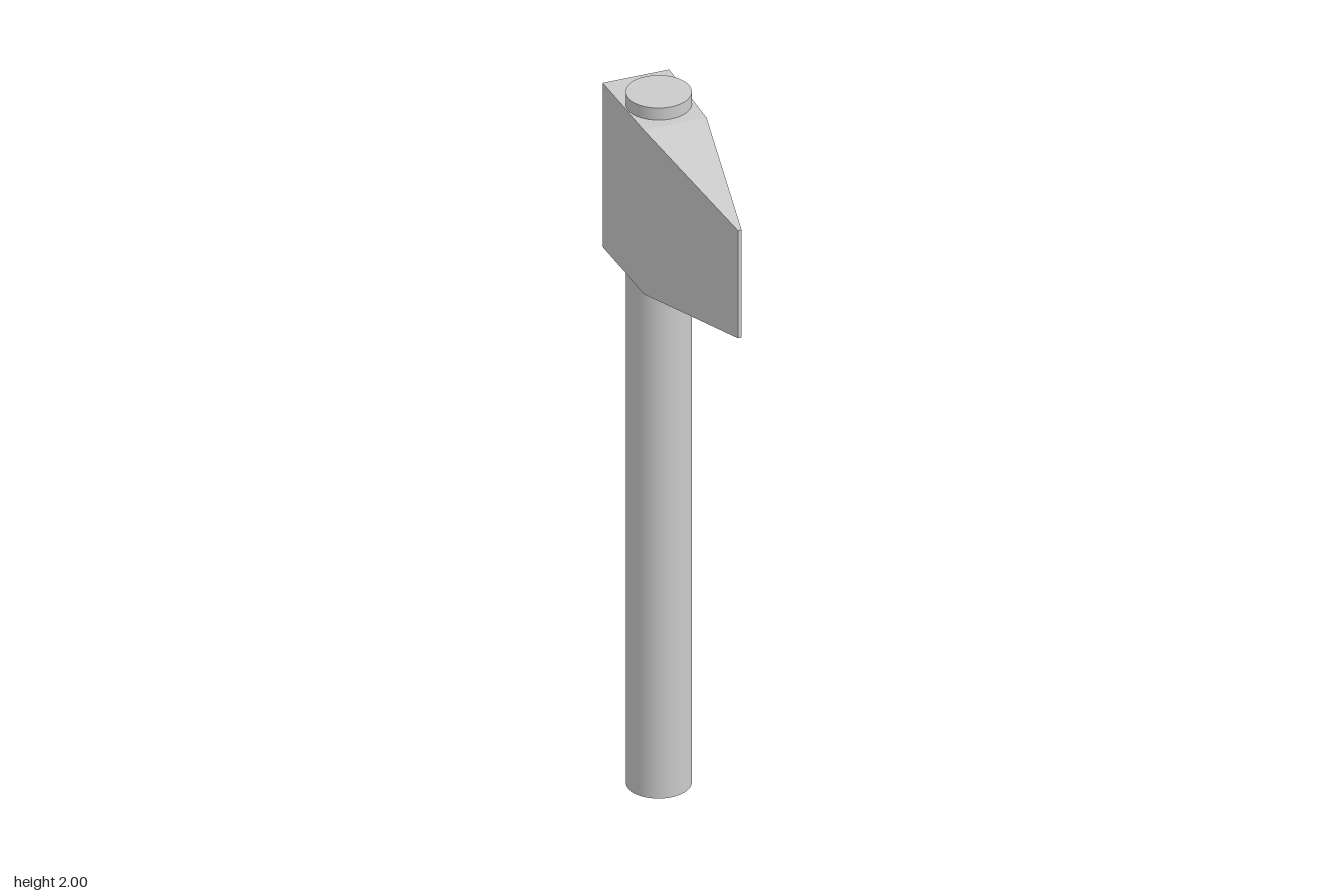
import * as THREE from 'three';

const material = new THREE.MeshStandardMaterial({ color: 0xcccccc });

// Closed solid skinned over rectangular sections listed from back to front.
function loftRectangles(sections) {
  const rings = sections.map(({ z, half, bottom, top }) => [
    [-half, bottom, z], [half, bottom, z], [half, top, z], [-half, top, z],
  ]);
  const positions = [];
  const quad = (a, b, c, d) => positions.push(...a, ...b, ...c, ...a, ...c, ...d);

  for (let i = 0; i < rings.length - 1; i++) {
    for (let j = 0; j < 4; j++) {
      const k = (j + 1) % 4;
      quad(rings[i][j], rings[i][k], rings[i + 1][k], rings[i + 1][j]);
    }
  }
  quad(...[...rings[0]].reverse());
  quad(...rings[rings.length - 1]);

  const geometry = new THREE.BufferGeometry();
  geometry.setAttribute('position', new THREE.Float32BufferAttribute(positions, 3));
  geometry.computeVertexNormals();
  return geometry;
}

export function createModel() {
  const group = new THREE.Group();
  group.name = 'hammer';

  // Round handle, running through the head and standing slightly proud of it
  const handle = new THREE.Mesh(new THREE.CylinderGeometry(0.084, 0.084, 2, 64), material);
  handle.name = 'handle';
  handle.position.set(0, 1, -0.195);
  group.add(handle);

  // Head: square striking block at the back, tapering to a vertical edge in front
  const head = new THREE.Mesh(loftRectangles([
    { z: -0.347, half: 0.091, bottom: 1.49, top: 1.965 },
    { z: -0.083, half: 0.085, bottom: 1.49, top: 1.965 },
    { z: 0.347, half: 0.005, bottom: 1.571, top: 1.883 },
  ]), material);
  head.name = 'head';
  group.add(head);

  return group;
}
